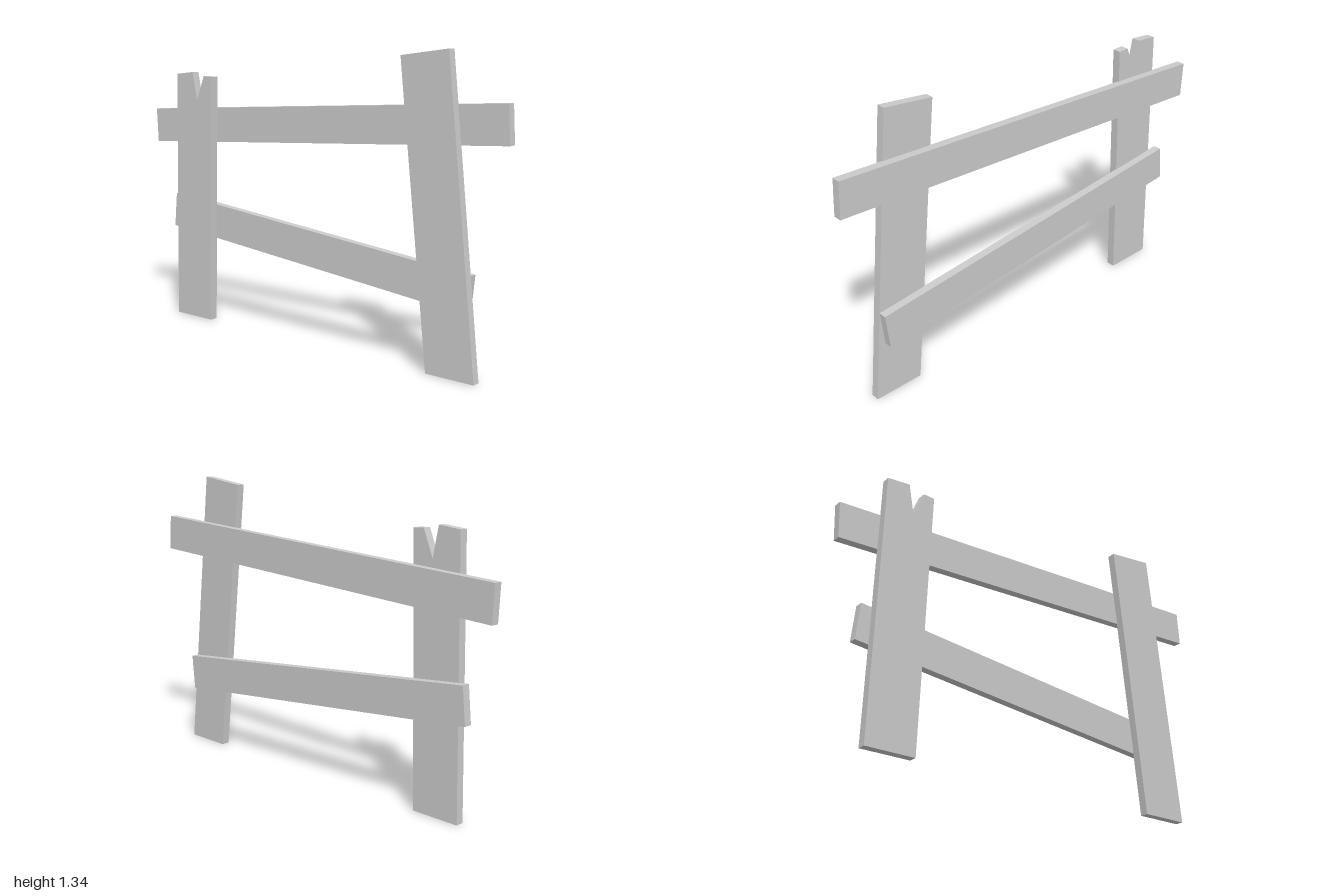
import * as THREE from 'three';

const material = new THREE.MeshStandardMaterial({ color: 0xcccccc, flatShading: true });
const THICKNESS = 0.039;

// A flat board cut to an outline, its back face at z = back
function board(name, outline, back) {
  const shape = new THREE.Shape(outline.map(([x, y]) => new THREE.Vector2(x, y)));
  const geometry = new THREE.ExtrudeGeometry(shape, { depth: THICKNESS, bevelEnabled: false });
  geometry.translate(0, 0, back);
  const mesh = new THREE.Mesh(geometry, material);
  mesh.name = name;
  return mesh;
}

export function createModel() {
  const fence = new THREE.Group();
  fence.name = 'brokenFence';

  // Upright posts in front; the right one has a split top
  fence.add(board('rightPost', [
    [-0.829, 0], [-0.599, 0], [-0.57, 1.194], [-0.623, 1.196],
    [-0.671, 1.078], [-0.698, 1.214], [-0.805, 1.203],
  ], -0.001));
  fence.add(board('leftPost', [
    [0.658, 0], [0.89, 0], [0.741, 1.342], [0.511, 1.313],
  ], -0.001));

  // Crooked rails behind the posts
  fence.add(board('upperRail', [
    [-0.992, 0.858], [1, 0.973], [0.99, 1.137], [-1, 1.022],
  ], -0.038));
  fence.add(board('lowerRail', [
    [-0.882, 0.437], [0.825, 0.272], [0.841, 0.437], [-0.866, 0.602],
  ], -0.038));

  return fence;
}
